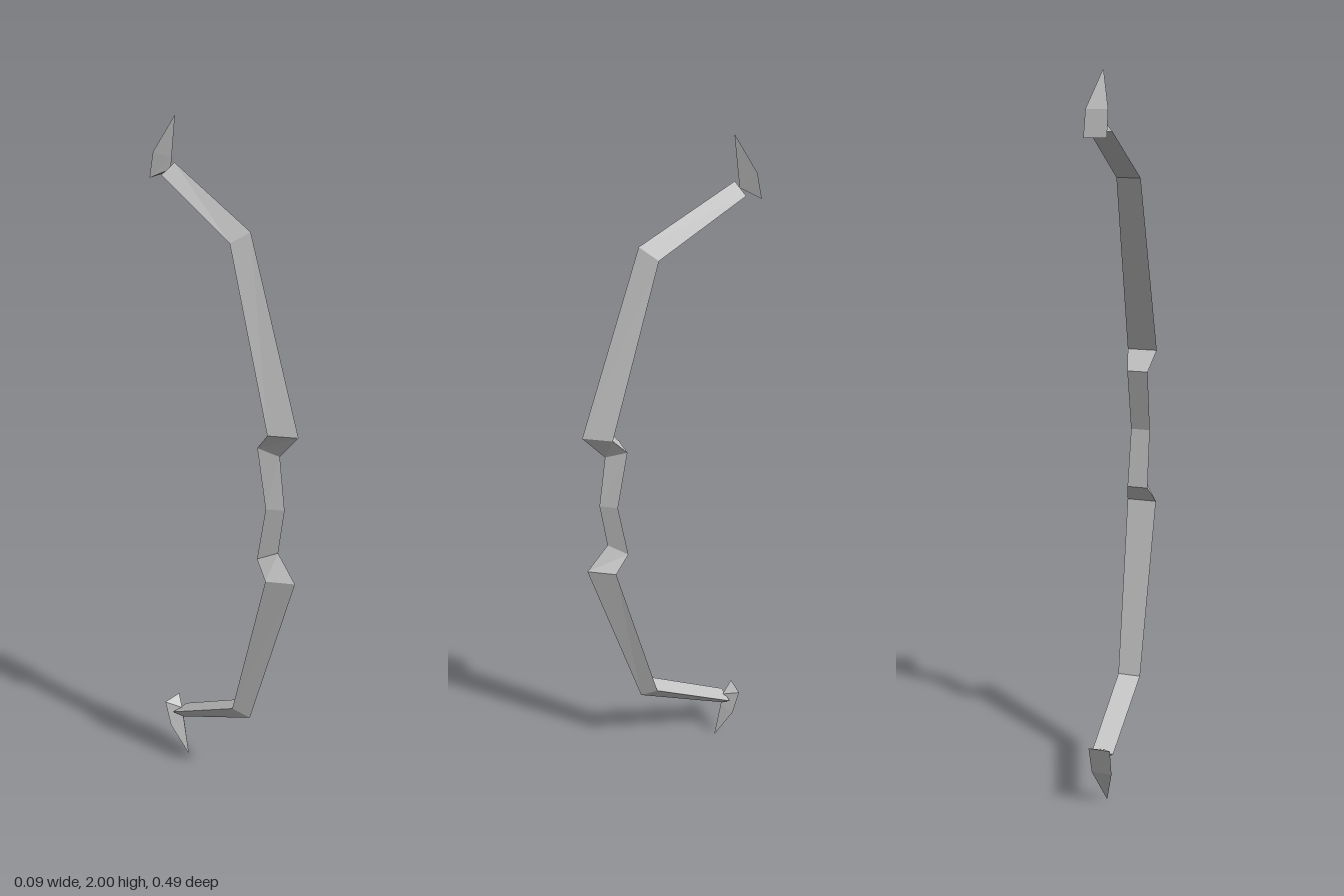
import * as THREE from 'three';

const material = new THREE.MeshStandardMaterial({ color: 0xcccccc, flatShading: true });

// Sweeps a triangular section upward: a front ridge and a flat back.
// Each ring: [ridgeY, ridgeZ, backY, backZ, halfWidth, centreX]
function ridgeBar(name, rings) {
  const pos = [];
  const sections = rings.map(([fy, fz, by, bz, w, cx = 0]) => [
    [cx, fy, fz], [cx + w, by, bz], [cx - w, by, bz],
  ]);
  const tri = (a, b, c) => pos.push(...a, ...b, ...c);
  for (let i = 0; i < sections.length - 1; i++) {
    const lo = sections[i], hi = sections[i + 1];
    for (let j = 0; j < 3; j++) {
      const k = (j + 1) % 3;
      tri(lo[j], lo[k], hi[k]);
      tri(lo[j], hi[k], hi[j]);
    }
  }
  // End caps
  const first = sections[0], last = sections[sections.length - 1];
  tri(first[0], first[2], first[1]);
  tri(last[0], last[1], last[2]);
  const geometry = new THREE.BufferGeometry();
  geometry.setAttribute('position', new THREE.Float32BufferAttribute(pos, 3));
  geometry.computeVertexNormals();
  const mesh = new THREE.Mesh(geometry, material);
  mesh.name = name;
  return mesh;
}

export function createModel() {
  const bow = new THREE.Group();
  bow.name = 'bow';

  // Shared joints where the limbs meet the grip
  const lowerJoint = [0.785, 0.242, 0.785, 0.172, 0.043];
  const upperJoint = [1.23, 0.242, 1.23, 0.172, 0.043];

  bow.add(
    ridgeBar('lowerLimb', [
      [0.13, -0.185, 0.157, -0.2, 0.031, -0.005],
      [0.258, 0.085, 0.29, 0.045, 0.033, -0.003],
      lowerJoint,
    ]),
    // Narrow handle, pinched behind both joints
    ridgeBar('grip', [
      lowerJoint,
      [0.86, 0.18, 0.835, 0.13, 0.03],
      [1.0, 0.2, 1.0, 0.157, 0.028],
      [1.155, 0.18, 1.175, 0.127, 0.03],
      upperJoint,
    ]),
    ridgeBar('upperLimb', [
      upperJoint,
      [1.75, 0.075, 1.72, 0.035, 0.034, -0.003],
      [1.88, -0.182, 1.85, -0.2, 0.031, -0.006],
    ]),
    // Pointed tips that hold the string
    ridgeBar('lowerTip', [
      [0, -0.165, 0, -0.166, 0.001, -0.006],
      [0.12, -0.184, 0.1, -0.212, 0.029, -0.006],
      [0.162, -0.19, 0.18, -0.232, 0.031, -0.006],
    ]),
    ridgeBar('upperTip', [
      [1.86, -0.196, 1.835, -0.243, 0.031, -0.006],
      [1.89, -0.192, 1.905, -0.229, 0.03, -0.006],
      [2, -0.178, 2, -0.179, 0.001, -0.006],
    ]),
  );
  return bow;
}
